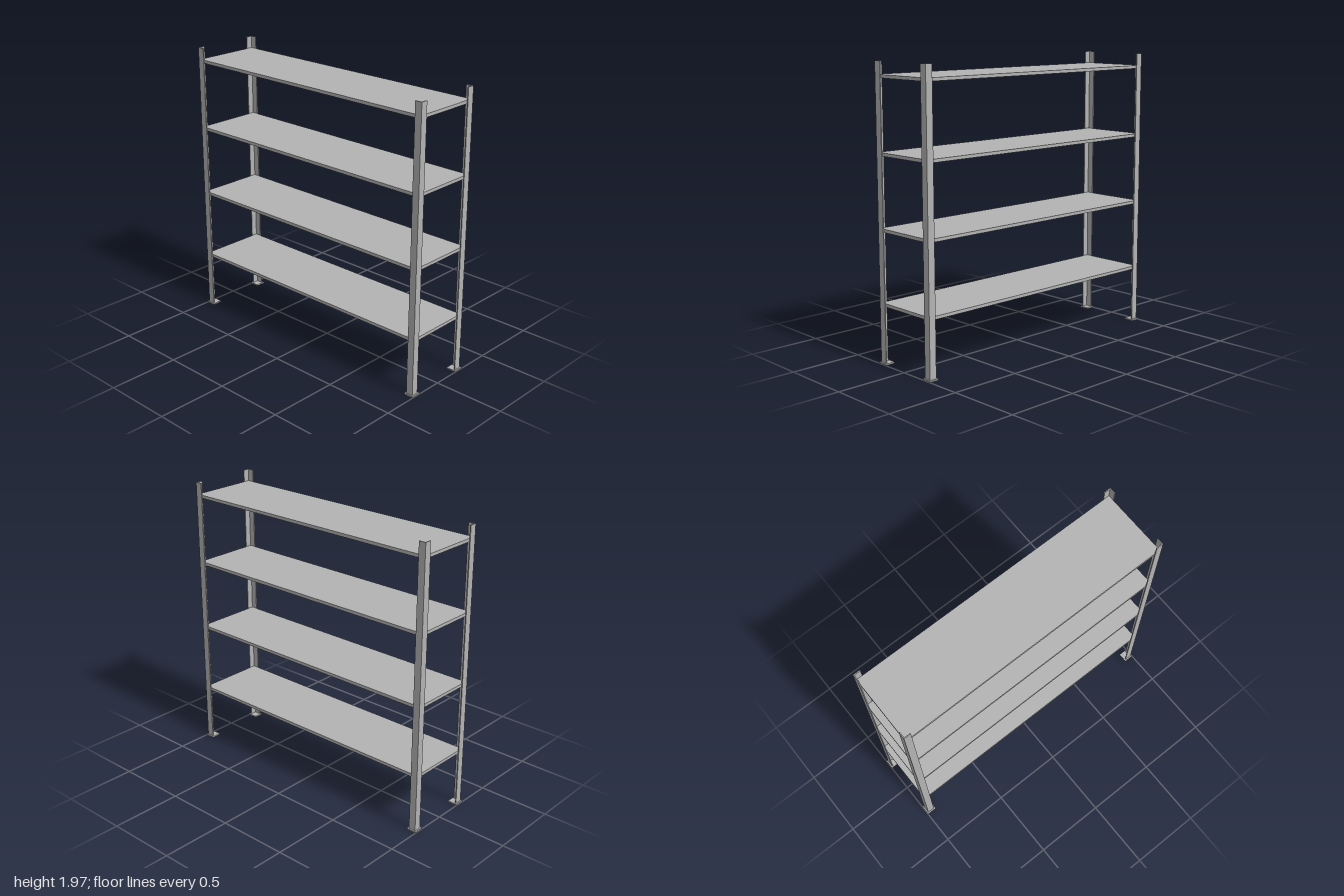
import * as THREE from 'three';

const steel = new THREE.MeshStandardMaterial({ color: 0xb3b3b3 });
steel.name = 'grey steel';

const HALF_X = 0.99, HALF_Z = 0.25; // outer faces of the posts
const FLANGE = 0.05, WALL = 0.007;  // angle-iron section
const HEIGHT = 1.965, FOOT = 0.07, FOOT_H = 0.01;

// Angle-iron post: corner at the origin, flanges towards +x and +z
function postGeometry() {
  const s = new THREE.Shape();
  s.moveTo(0, 0);
  s.lineTo(FLANGE, 0);
  s.lineTo(FLANGE, -WALL);
  s.lineTo(WALL, -WALL);
  s.lineTo(WALL, -FLANGE);
  s.lineTo(0, -FLANGE);
  s.closePath();
  const g = new THREE.ExtrudeGeometry(s, { depth: HEIGHT - FOOT_H, bevelEnabled: false });
  return g.rotateX(-Math.PI / 2).translate(0, FOOT_H, 0);
}

export function createModel() {
  const group = new THREE.Group();
  group.name = 'shelvingRack';
  const add = (name, geometry, x, y, z) => {
    const mesh = new THREE.Mesh(geometry, steel);
    mesh.name = name;
    mesh.position.set(x, y, z);
    group.add(mesh);
    return mesh;
  };

  // Corner posts with square foot plates, flanges turned inwards
  const post = postGeometry();
  const foot = new THREE.BoxGeometry(FOOT, FOOT_H, FOOT);
  for (const sx of [-1, 1]) {
    for (const sz of [-1, 1]) {
      const name = (sz > 0 ? 'front' : 'back') + (sx > 0 ? 'Left' : 'Right');
      // The section is symmetric, so quarter turns give all four corners
      const turn = sx < 0 ? (sz < 0 ? 0 : Math.PI / 2) : (sz < 0 ? -Math.PI / 2 : Math.PI);
      add(name + 'Post', post, sx * HALF_X, 0, sz * HALF_Z).rotation.y = turn;
      add(name + 'Foot', foot, sx * (1 - FOOT / 2), FOOT_H / 2, sz * (0.26 - FOOT / 2));
    }
  }

  // Four shelves fitted inside the posts
  const shelf = new THREE.BoxGeometry(2 * (HALF_X - WALL), 0.022, 2 * (HALF_Z - WALL));
  for (let i = 0; i < 4; i++) {
    add('shelf' + (i + 1), shelf, 0, 0.4 + i * 0.49, 0);
  }
  return group;
}
